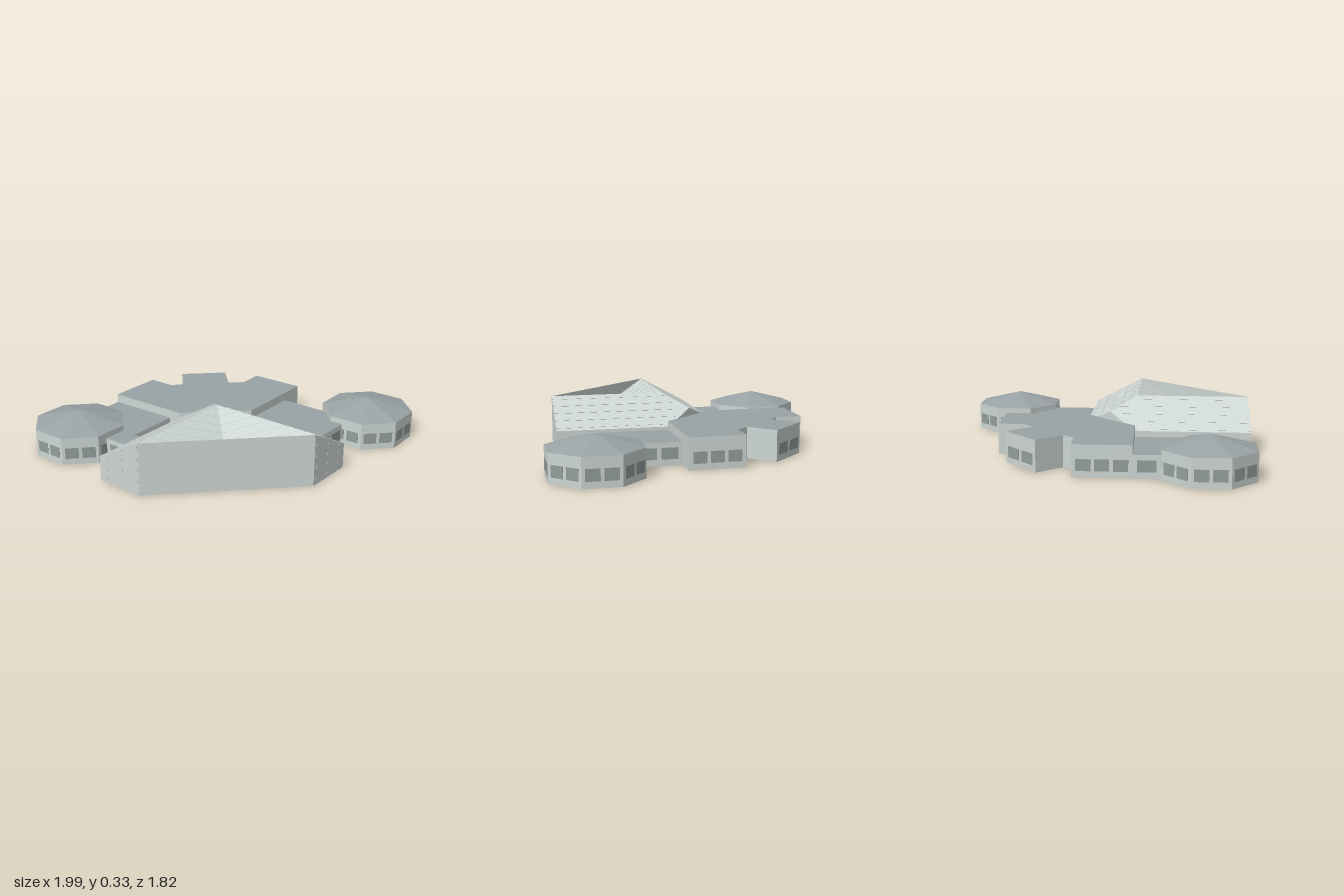
import * as THREE from 'three';

// Walls and roofs are open shells, so every surface shows from both sides
const material = (name, color) => {
  const m = new THREE.MeshStandardMaterial({ color, side: THREE.DoubleSide });
  m.name = name;
  return m;
};
const V = (x, y, z) => new THREE.Vector3(x, y, z);

export function createModel() {
  const root = new THREE.Group();
  root.name = 'buildingComplex';
  const wall = material('paleWall', 0xcdd6d3);
  const roof = material('roofGrey', 0x99a2a4);
  const glass = material('windowGrey', 0x949e9d);

  const add = (parent, name, geometry, mat) => {
    const mesh = new THREE.Mesh(geometry, mat);
    mesh.name = name;
    parent.add(mesh);
    return mesh;
  };
  const group = (name) => {
    const g = new THREE.Group();
    g.name = name;
    root.add(g);
    return g;
  };
  const faceted = (geometry) => {
    const g = geometry.toNonIndexed();
    g.computeVertexNormals();
    return g;
  };

  // Row of thin window plates along the wall from a to b ([x, z] corners)
  const windows = (parent, a, b, count) => {
    const dx = b[0] - a[0], dz = b[1] - a[1];
    const pitch = Math.hypot(dx, dz) * 0.92 / count;
    for (let i = 0; i < count; i++) {
      const t = 0.04 + 0.92 * (i + 0.5) / count;
      const pane = add(parent, 'window', new THREE.BoxGeometry(pitch * 0.8, 0.07, 0.004), glass);
      pane.position.set(a[0] + dx * t, 0.074, a[1] + dz * t);
      pane.rotation.y = -Math.atan2(dz, dx);
    }
  };

  // Flat-roofed block, open below; panes lists [edge index, window count]
  const block = (name, outline, height, panes) => {
    const g = group(name);
    const shape = new THREE.Shape(outline.map(([x, z]) => new THREE.Vector2(x, -z)));
    const top = add(g, name + 'Roof', new THREE.ShapeGeometry(shape), roof);
    top.rotation.x = -Math.PI / 2;
    top.position.y = height;
    const next = (i) => outline[(i + 1) % outline.length];
    outline.forEach((a, i) => {
      const b = next(i);
      const dx = a[0] - b[0], dz = a[1] - b[1];
      const side = add(g, name + 'Wall', new THREE.PlaneGeometry(Math.hypot(dx, dz), height), wall);
      side.position.set((a[0] + b[0]) / 2, height / 2, (a[1] + b[1]) / 2);
      side.rotation.y = -Math.atan2(dz, dx);
    });
    panes.forEach(([i, n]) => windows(g, outline[i], next(i), n));
    return g;
  };

  block('classroomBlock', [
    [-0.17, -0.69], [0.175, -0.67], [0.135, -0.13], [-0.23, 0.165], [-0.77, 0.135],
    [-0.74, -0.215], [-0.57, -0.205], [-0.505, -0.27], [-0.635, -0.425],
    [-0.395, -0.62], [-0.265, -0.465], [-0.18, -0.53],
  ], 0.195, [[0, 3], [4, 3], [8, 2]]);

  const west = block('westLink', [
    [-0.77, 0.135], [-0.31, 0.16], [-0.335, 0.495], [-0.26, 0.5],
    [-0.27, 0.645], [-0.6, 0.625], [-0.785, 0.4],
  ], 0.14, [[1, 2]]);
  windows(west, [-0.27, 0.645], [-0.44, 0.635], 1);
  windows(west, [-0.77, 0.14], [-0.777, 0.29], 1);

  block('eastLink', [
    [0.165, -0.515], [0.445, -0.495], [0.7, -0.48], [0.67, -0.37],
    [0.645, -0.09], [0.12, -0.13],
  ], 0.14, [[0, 2], [3, 2]]);

  // Eight-sided pavilions with low pyramid roofs, open below
  const radius = 0.294, turn = THREE.MathUtils.degToRad(18.5);
  for (const [name, x, z] of [['westPavilion', -0.716, 0.573], ['eastPavilion', 0.718, -0.632]]) {
    const g = group(name);
    g.position.set(x, 0, z);
    const body = faceted(new THREE.CylinderGeometry(radius, radius, 0.175, 8, 1, true, turn));
    add(g, 'pavilionWall', body, wall).position.y = 0.0875;
    const cone = faceted(new THREE.ConeGeometry(radius, 0.075, 8, 1, true, turn));
    add(g, 'pavilionRoof', cone, roof).position.y = 0.2125;
    const corner = (i) => [radius * Math.sin(turn + i * Math.PI / 4), radius * Math.cos(turn + i * Math.PI / 4)];
    for (let i = 0; i < 8; i++) windows(g, corner(i), corner(i + 1), 2);
  }

  // Hall: two wings meeting at a peak, with a sunken folded roof behind a tall front wall
  const hall = group('hall');
  const inside = V(0.2, 0.05, 0.4);
  const face = (name, points) => {
    const normal = points[1].clone().sub(points[0]).cross(points[2].clone().sub(points[0]));
    const ordered = normal.dot(points[0].clone().sub(inside)) < 0
      ? [points[0], ...points.slice(1).reverse()] : points;
    const list = [];
    for (let i = 1; i < ordered.length - 1; i++) list.push(ordered[0], ordered[i], ordered[i + 1]);
    const geometry = new THREE.BufferGeometry().setFromPoints(list);
    geometry.computeVertexNormals();
    add(hall, name, geometry, wall);
  };
  // Fine ribs crossing a planar panel, parallel to dir
  const ribs = (points, dir, spacing) => {
    const n = points[1].clone().sub(points[0]).cross(points[2].clone().sub(points[0])).normalize();
    const u = dir.clone().addScaledVector(n, -dir.dot(n)).normalize();
    const v = n.clone().cross(u);
    const d = points.map((p) => p.dot(v));
    const max = Math.max(...d);
    for (let s = Math.min(...d) + spacing / 2; s < max; s += spacing) {
      const hits = [];
      points.forEach((p, i) => {
        const j = (i + 1) % points.length;
        if ((d[i] - s) * (d[j] - s) < 0) hits.push(p.clone().lerp(points[j], (s - d[i]) / (d[j] - d[i])));
      });
      hits.sort((a, b) => a.dot(u) - b.dot(u));
      for (let k = 0; k + 1 < hits.length; k += 2) {
        const strip = add(hall, 'rib', new THREE.BoxGeometry(hits[k].distanceTo(hits[k + 1]), 0.003, 0.002), wall);
        strip.applyMatrix4(new THREE.Matrix4().makeBasis(u, v, n));
        strip.position.copy(hits[k]).lerp(hits[k + 1], 0.5);
      }
    }
  };

  const eave = 0.16, top = 0.33;
  const peak = V(0.08, top, 0.19);
  const ridgeWest = V(0.02, top, 0.905), ridgeEast = V(0.8, top, 0.25);
  const valley = V(0.41, 0.175, 0.5775);
  const westFront = V(-0.29, eave, 0.88), westBack = V(-0.23, eave, 0.16);
  const eastFront = V(0.83, eave, -0.07), eastBack = V(0.125, eave, -0.13);
  const hip = V(-0.055, 0.248, 0.015);
  const ground = (p) => V(p.x, 0, p.z);

  const westSlope = [peak, ridgeWest, westFront, westBack, hip];
  const eastSlope = [peak, ridgeEast, eastFront, eastBack, hip];
  face('westRoof', westSlope);
  face('eastRoof', eastSlope);
  face('innerRoofWest', [peak, ridgeWest, valley]);
  face('innerRoofEast', [peak, ridgeEast, valley]);

  const frontWall = [valley, ridgeWest, ground(ridgeWest), ground(ridgeEast), ridgeEast];
  const westGable = [westFront, ridgeWest, ground(ridgeWest), ground(westFront)];
  const eastGable = [eastFront, ridgeEast, ground(ridgeEast), ground(eastFront)];
  face('frontWall', frontWall);
  face('frontParapet', [valley, ridgeEast, ridgeWest]);
  face('westGable', westGable);
  face('eastGable', eastGable);
  face('westSideWall', [westFront, westBack, ground(westBack), ground(westFront)]);
  face('backEastWall', [eastFront, eastBack, ground(eastBack), ground(eastFront)]);
  face('chamferWall', [hip, westBack, ground(westBack), ground(eastBack), eastBack]);
  face('hallFloor', [ridgeWest, westFront, westBack, eastBack, eastFront, ridgeEast].map(ground));

  // Panel ribs on walls and roofs
  const up = V(0, 1, 0), along = ridgeEast.clone().sub(ridgeWest), across = valley.clone().sub(peak);
  [frontWall, westGable, eastGable].forEach((p) => ribs(p, up, 0.12));
  const westRidge = ridgeWest.clone().sub(peak), eastRidge = ridgeEast.clone().sub(peak);
  for (const [panel, a, b] of [
    [westSlope, westRidge, eastRidge], [eastSlope, eastRidge, westRidge],
    [[peak, ridgeWest, valley], along, across], [[peak, ridgeEast, valley], along, across],
  ]) {
    ribs(panel, a, 0.075);
    ribs(panel, b, 0.075);
  }
  return root;
}
